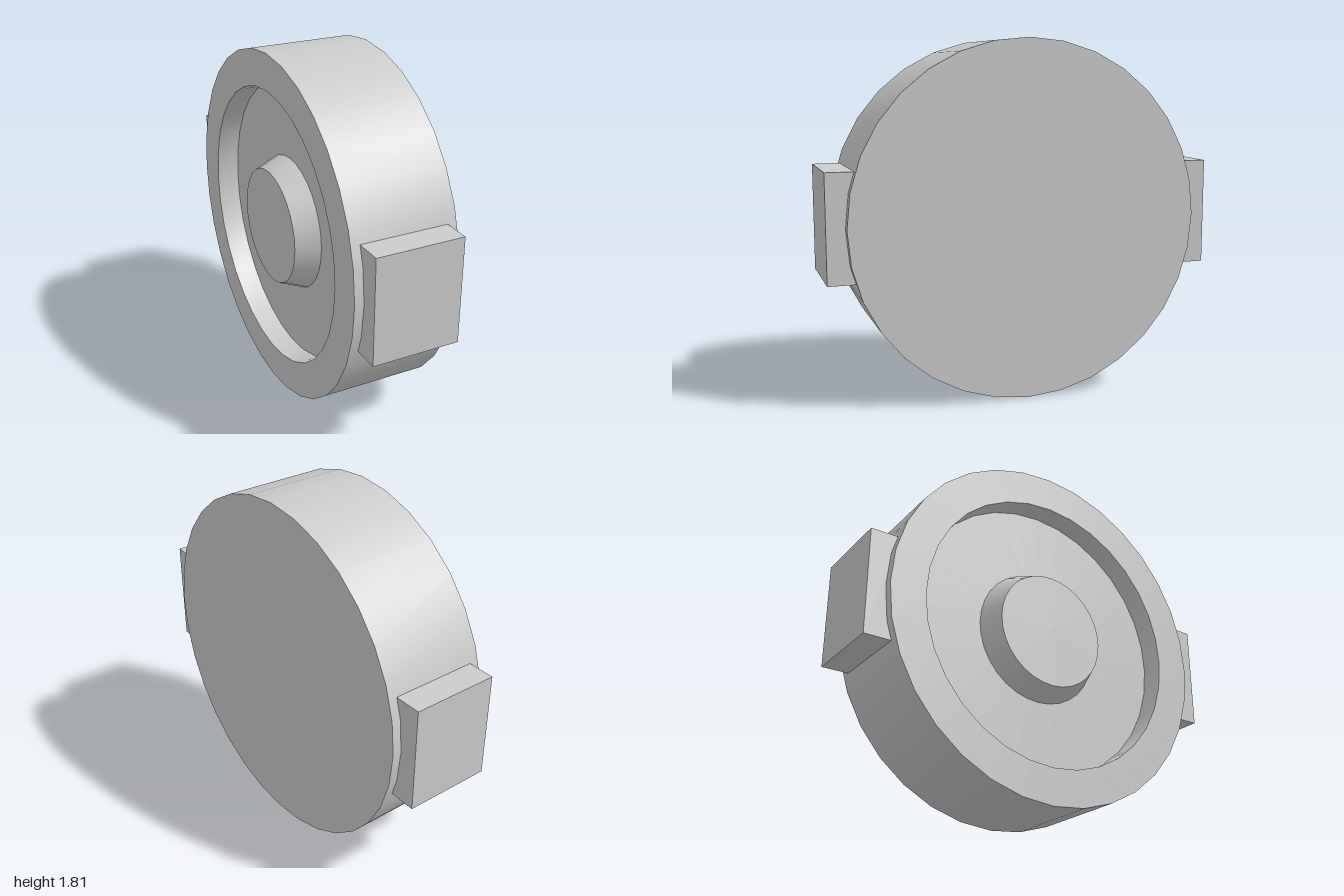
import * as THREE from 'three';
import { toCreasedNormals } from 'three/addons/utils/BufferGeometryUtils.js';

const R = 0.907;         // wheel radius
const HALF = 0.272;      // half the wheel width
const DEPTH = 0.12;      // recess depth

export function createModel() {
  const group = new THREE.Group();
  const material = new THREE.MeshStandardMaterial({ color: 0xcccccc });

  function add(name, geometry, x, y, z) {
    const mesh = new THREE.Mesh(geometry, material);
    mesh.name = name;
    mesh.position.set(x, y, z);
    group.add(mesh);
  }

  // Disc: plain face on +x, ring recess with a tapered central hub on -x
  const profile = [
    [0, -HALF], [R, -HALF], [R, HALF],
    [0.72, HALF], [0.72, HALF - DEPTH],
    [0.35, HALF - DEPTH], [0.3, HALF], [0, HALF],
  ].map(([r, h]) => new THREE.Vector2(r, h));
  const disc = new THREE.LatheGeometry(profile, 32);
  disc.rotateZ(Math.PI / 2);
  add('discBody', toCreasedNormals(disc, 0.5), 0, R, 0);

  // Rectangular lugs on the front and back of the rim
  for (const [name, side] of [['frontLug', 1], ['backLug', -1]]) {
    add(name, new THREE.BoxGeometry(0.45, 0.544, 0.14), 0, R + 0.003, side * 0.93);
  }
  return group;
}
